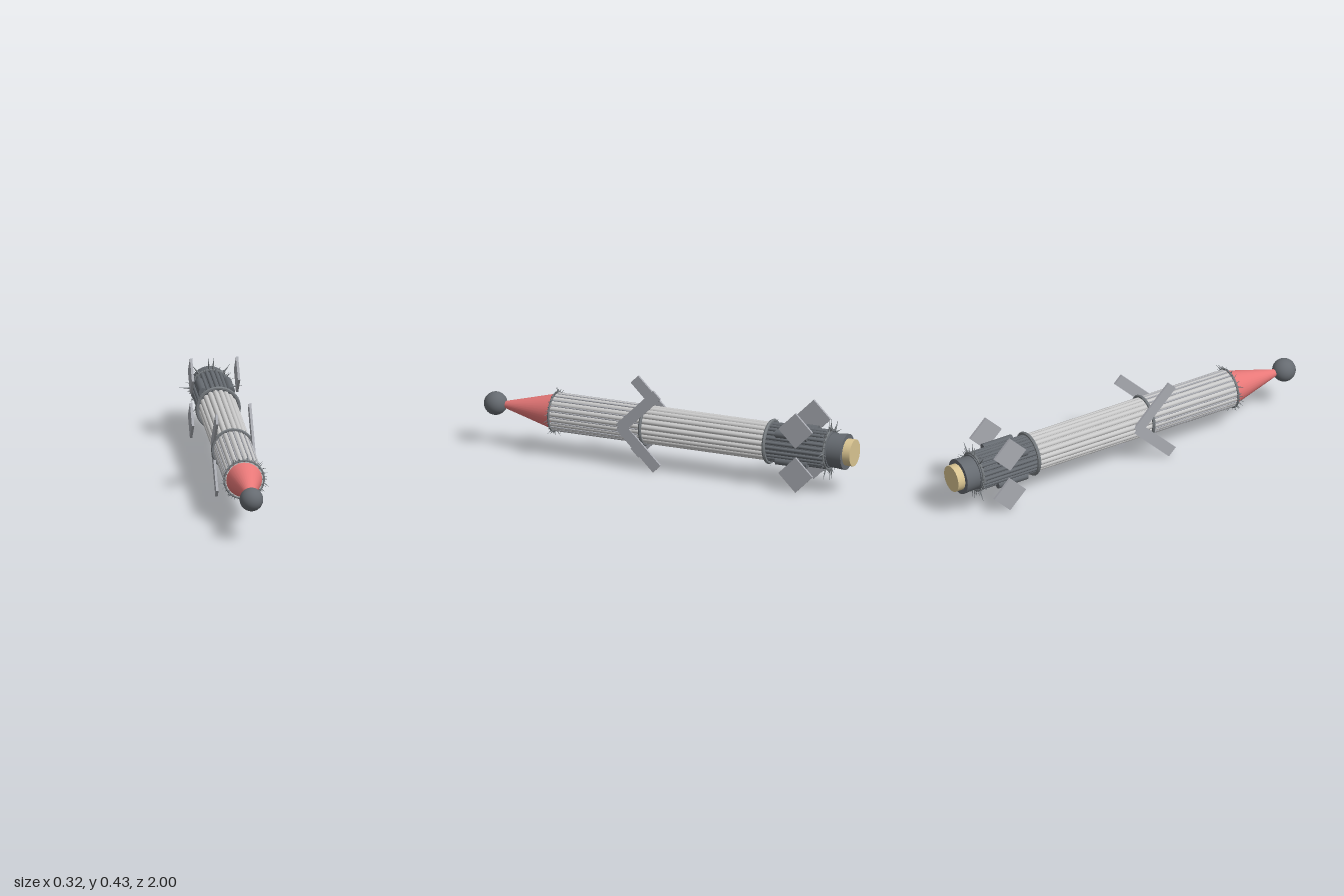
import * as THREE from 'three';

const AXIS = 0.217; // height of the body axis

const mat = (color, flat = false) =>
  new THREE.MeshStandardMaterial({ color, flatShading: flat });
const light = mat(0xcccccc);
const dark = mat(0x666b71);
const ringGrey = mat(0x777c80, true);
const finGrey = mat(0xa9abb2);
const red = mat(0xe87878);
const tan = mat(0xd9c491);

let seed = 7;
const rand = () => (seed = (seed * 16807) % 2147483647) / 2147483647;

export function createModel() {
  const model = new THREE.Group();
  const body = new THREE.Group();
  body.name = 'body';
  body.position.y = AXIS;
  model.add(body);

  const add = (parent, name, geometry, material) => {
    const m = new THREE.Mesh(geometry, material);
    m.name = name;
    parent.add(m);
    return m;
  };

  // Cylinder along z from zBack to zFront
  const tube = (parent, name, zBack, zFront, rBack, rFront, material, sides = 32) => {
    const g = new THREE.CylinderGeometry(rFront, rBack, zFront - zBack, sides);
    g.rotateX(Math.PI / 2);
    const m = add(parent, name, g, material);
    m.position.z = (zBack + zFront) / 2;
    return m;
  };

  // Lengthwise rods arranged around the axis
  const rods = (name, count, radius, r, zBack, zFront, material, offset = 0) => {
    const group = new THREE.Group();
    group.name = name;
    for (let i = 0; i < count; i++) {
      const a = ((i + offset) / count) * Math.PI * 2;
      const m = tube(group, 'rod', zBack, zFront, r, r, material, 10);
      m.position.x = Math.cos(a) * radius;
      m.position.y = Math.sin(a) * radius;
    }
    body.add(group);
  };

  // Thin thorns leaning out of a ring
  const thorns = (name, z, count, base, minLen, maxLen, lean) => {
    const group = new THREE.Group();
    group.name = name;
    const up = new THREE.Vector3(0, 1, 0);
    for (let i = 0; i < count; i++) {
      const a = ((i + rand() * 0.6) / count) * Math.PI * 2;
      const len = minLen + (maxLen - minLen) * rand();
      const twist = a + (rand() - 0.5) * 1.2;
      const dir = new THREE.Vector3(Math.cos(twist), Math.sin(twist), (rand() - 0.5) * lean).normalize();
      const m = add(group, 'thorn', new THREE.ConeGeometry(0.0035, len, 4), ringGrey);
      m.quaternion.setFromUnitVectors(up, dir);
      m.position.set(Math.cos(a) * base, Math.sin(a) * base, z).addScaledVector(dir, len / 2);
    }
    body.add(group);
  };

  // Nose
  const ball = add(body, 'noseBall', new THREE.SphereGeometry(0.059, 32, 20), dark);
  ball.position.z = 0.941;
  tube(body, 'noseCone', 0.61, 0.91, 0.092, 0.012, red);

  // Ribbed barrel, with extra fine ribs on its front half
  tube(body, 'barrelCore', -0.56, 0.62, 0.088, 0.088, light);
  rods('barrelRibs', 20, 0.084, 0.0135, -0.55, 0.62, light, 0.5);
  rods('frontRibs', 20, 0.094, 0.0035, 0.12, 0.61, finGrey);

  // Dark ribbed engine section, tail collar and nozzle
  tube(body, 'engineCore', -0.88, -0.55, 0.091, 0.091, dark);
  rods('engineRibs', 24, 0.091, 0.009, -0.87, -0.55, dark);
  rods('enginePods', 4, 0.099, 0.021, -0.775, -0.605, dark, 0.5);
  tube(body, 'tailCollar', -0.96, -0.86, 0.091, 0.083, dark);
  tube(body, 'nozzle', -1.0, -0.95, 0.068, 0.068, tan);

  // Thorny wreaths around the barrel: z, ring radius, tube
  for (const [z, r, t] of [[0.615, 0.098, 0.006], [0.12, 0.102, 0.008],
    [-0.55, 0.105, 0.009], [-0.87, 0.098, 0.006]]) {
    const ring = add(body, 'wreathRing', new THREE.TorusGeometry(r, t, 6, 40), ringGrey);
    ring.position.z = z;
  }
  thorns('frontThorns', 0.615, 60, 0.094, 0.015, 0.042, 2);
  thorns('middleThorns', 0.12, 36, 0.1, 0.008, 0.018, 1);
  thorns('rearThorns', -0.55, 44, 0.1, 0.012, 0.024, 1.5);
  thorns('tailThorns', -0.87, 60, 0.094, 0.015, 0.045, 2);

  // Large spikes in mirrored pairs at the tail
  for (const side of [1, -1]) {
    for (const deg of [-85, -53, 4, 53, 85]) {
      const a = THREE.MathUtils.degToRad(deg);
      const g = new THREE.ConeGeometry(0.006, 0.07, 4);
      g.rotateZ(-Math.PI / 2);
      const m = add(body, 'largeSpike', g, ringGrey);
      m.position.set(side * Math.cos(a) * 0.126, Math.sin(a) * 0.126, -0.87);
      m.rotation.z = side > 0 ? a : Math.PI - a;
    }
  }

  // Chevron wings: the left one points forward, the right one backward
  for (const side of [1, -1]) {
    const wing = new THREE.Group();
    wing.name = side > 0 ? 'leftWing' : 'rightWing';
    for (const v of [1, -1]) {
      const arm = add(wing, 'wingArm', new THREE.BoxGeometry(0.012, 0.057, 0.283), finGrey);
      arm.position.set(side * 0.093, v * 0.094, 0.129);
      arm.rotation.x = side * v * Math.PI / 4;
    }
    body.add(wing);
  }

  // Four diamond tail fins
  for (const side of [1, -1]) {
    for (const v of [1, -1]) {
      const fin = add(body, 'tailFin', new THREE.BoxGeometry(0.012, 0.13, 0.13), finGrey);
      fin.position.set(side * 0.115, v * 0.116, -0.73);
      fin.rotation.x = Math.PI / 4;
    }
  }
  return model;
}
